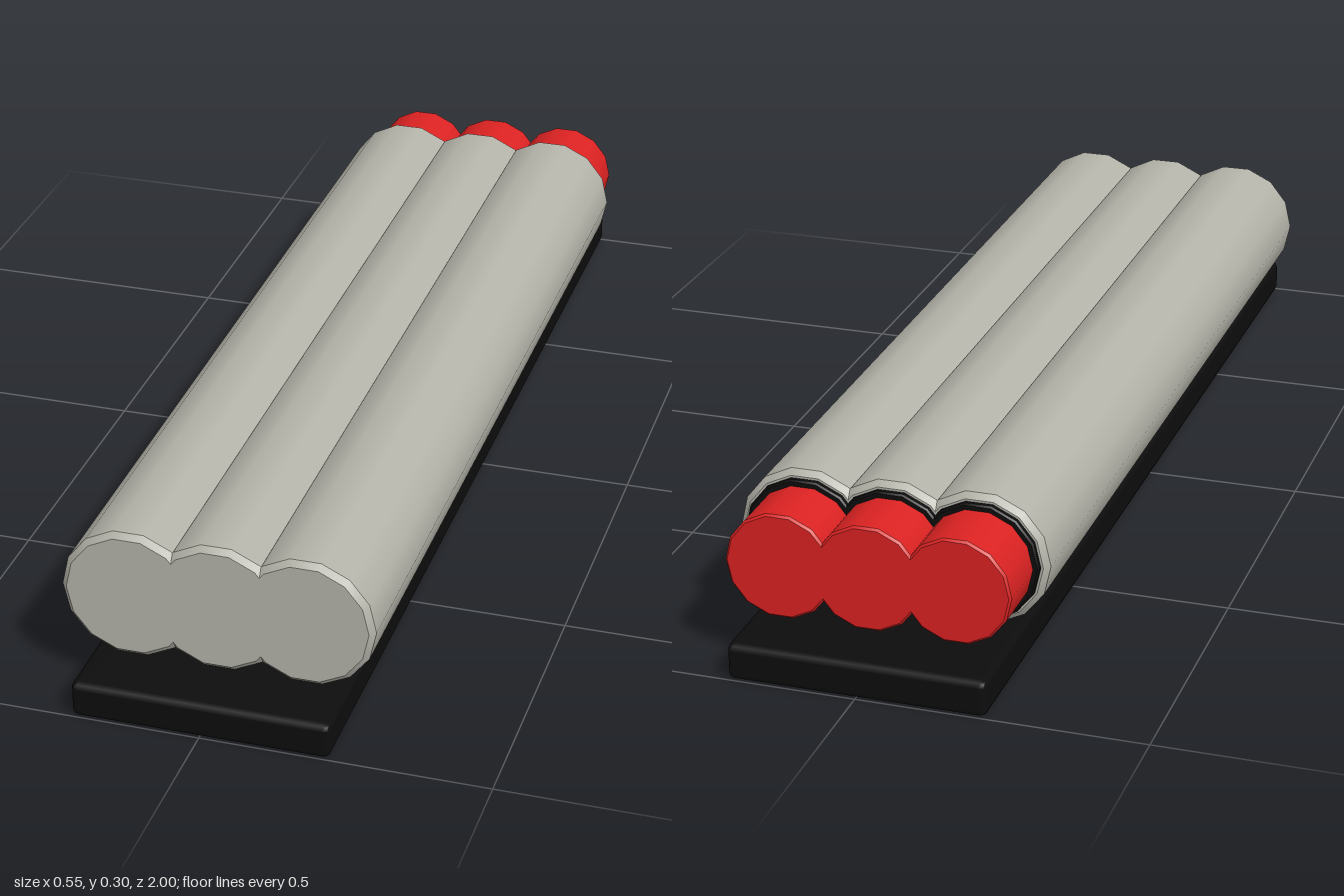
import * as THREE from 'three';
import { mergeGeometries } from 'three/addons/utils/BufferGeometryUtils.js';
import { RoundedBoxGeometry } from 'three/addons/geometries/RoundedBoxGeometry.js';

const SIDES = 14;

// Lathe along z with crisp edges between the profile steps [radius, z], listed back to front
function turned(profile) {
  const bands = [];
  for (let i = 0; i < profile.length - 1; i++) {
    const pts = [profile[i], profile[i + 1]].map(([r, z]) => new THREE.Vector2(r, z));
    bands.push(new THREE.LatheGeometry(pts, SIDES, Math.PI / 2));
  }
  return mergeGeometries(bands).rotateX(Math.PI / 2);
}

// Rod from z0 to z1 with chamfered ends
function rod(r, z0, z1, c) {
  return turned([[0, z0], [r - c, z0], [r, z0 + c], [r, z1 - c], [r - c, z1], [0, z1]]);
}

export function createModel() {
  const material = (name, color) => {
    const m = new THREE.MeshStandardMaterial({ color });
    m.name = name;
    return m;
  };
  const grey = material('warm grey', 0xb5b4aa);
  const red = material('red', 0xdc2222);
  const black = material('black', 0x0d0d0d);

  const model = new THREE.Group();
  model.name = 'tripleTube';
  const add = (name, geometry, mat, x, y) => {
    const mesh = new THREE.Mesh(geometry, mat);
    mesh.name = name;
    mesh.position.set(x, y, 0);
    model.add(mesh);
  };

  // Base plate
  add('basePlate', new RoundedBoxGeometry(0.45, 0.065, 2, 1, 0.012), black, 0, 0.0325);

  // Three overlapping tubes, each with a dark collar and a red plug at the back
  const tube = rod(0.12, -0.81, 0.9, 0.01);
  const collar = rod(0.106, -0.82, -0.78, 0.003);
  const plug = rod(0.095, -0.935, -0.79, 0.004);
  ['right', 'middle', 'left'].forEach((side, i) => {
    const x = (i - 1) * 0.153;
    add(side + 'Tube', tube, grey, x, 0.187);
    add(side + 'Collar', collar, black, x, 0.187);
    add(side + 'Plug', plug, red, x, 0.187);
  });
  return model;
}
